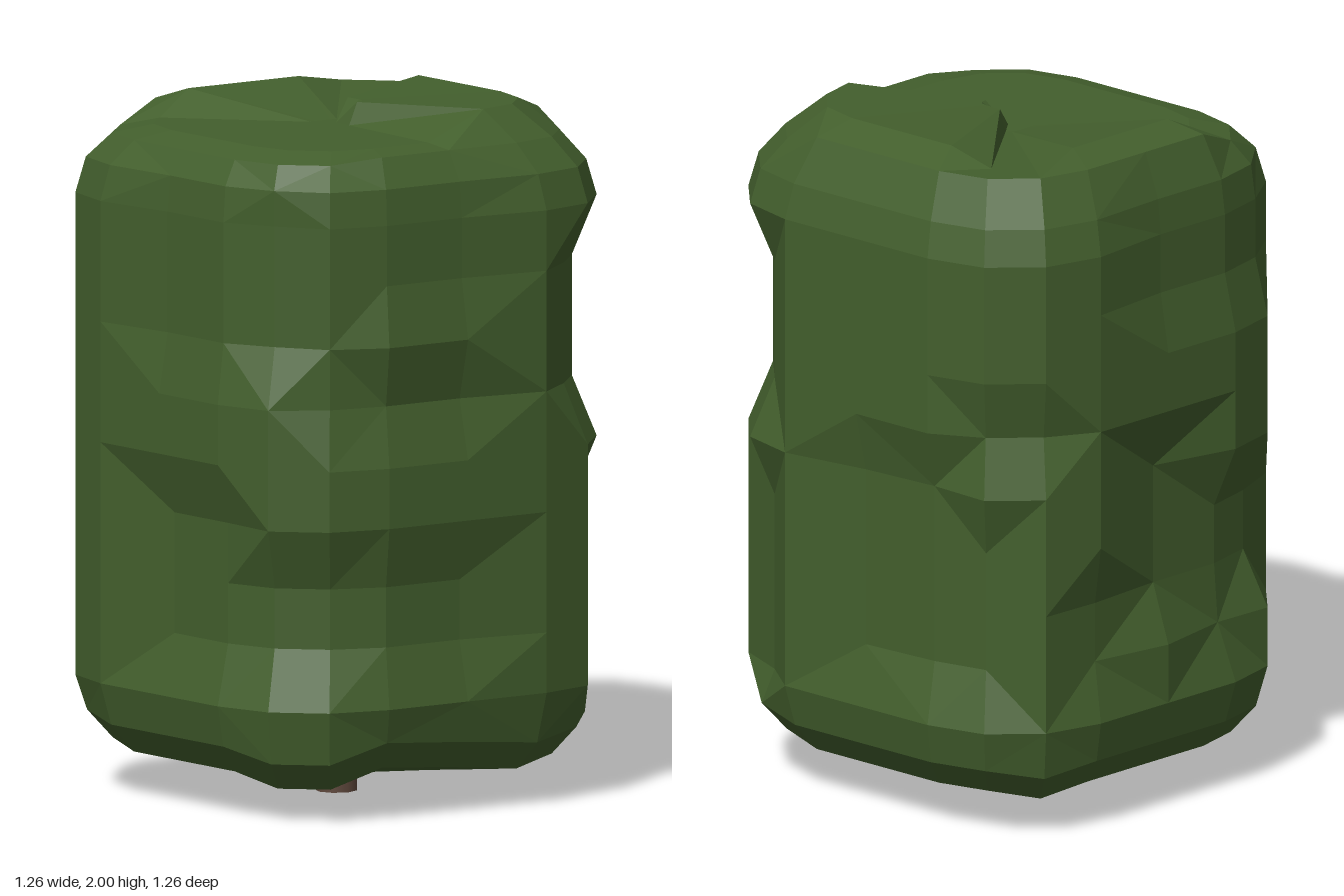
import * as THREE from 'three';

// One side of the rounded-square outline; rotated four times for the full ring of 20 columns
const SIDE = [[-0.28, 0.63], [0, 0.63], [0.28, 0.63], [0.46, 0.585], [0.585, 0.46]];
const N = 20;

function outline() {
  const pts = [];
  for (let s = 0; s < 4; s++) {
    for (const [px, pz] of SIDE) {
      let x = px, z = pz;
      for (let k = 0; k < s; k++) [x, z] = [z, -x];
      pts.push([x, z]);
    }
  }
  return pts;
}

// Dents in the foliage: first column, column count, first row, last row, depth
const DENTS = [
  [0, 2, 1, 2, 0.04], [0, 2, 5, 5, 0.04], [0, 2, 7, 8, 0.03],    // front folds
  [18, 2, 1, 2, 0.06], [18, 1, 6, 8, 0.06], [19, 1, 5, 8, 0.03], // front right corner
  [4, 1, 0, 3, 0.06], [3, 2, 5, 7, 0.06],                        // front left corner
  [6, 1, 1, 4, 0.04], [7, 1, 1, 4, 0.055],                       // left side under the fold
  [8, 1, 1, 3, 0.05], [8, 2, 5, 5, 0.04],                        // back left corner
  [10, 1, 1, 2, 0.04], [11, 1, 2, 4, 0.06], [12, 2, 2, 3, 0.06], // back fold
  [12, 1, 1, 1, 0.05], [11, 3, 7, 8, 0.03],
  [16, 2, 1, 3, 0.055], [16, 2, 6, 8, 0.03],                     // right side
];

function dent(col, row) {
  let d = 0;
  for (const [c, n, r0, r1, depth] of DENTS) {
    if ((col - c + N) % N < n && row >= r0 && row <= r1) d = Math.max(d, depth);
  }
  return d;
}

// The uneven top: raised wedge at the front left, back ridge, low right side
const inWedge = (c) => c >= 2 && c <= 7;

function topHeight(c) {
  if (inWedge(c)) return 2;
  if (c >= 10 && c <= 12) return 1.99;
  return c >= 13 || c <= 1 ? 1.92 : 1.95;
}

function shoulderHeight(c) {
  if (c >= 5 && c <= 12) return 1.955;
  return c >= 13 ? 1.895 : 1.91;
}

// Height offset of the ragged lower rim
function rimOffset(c) {
  if (c === 18 || c === 19) return -0.035;
  if (c === 2 || c === 9) return -0.025;
  return c === 0 || c === 4 || c === 14 ? 0.02 : 0;
}

function foliageGeometry() {
  const base = outline();
  const rings = [];
  const addRing = (scale, heightAt, dentAt = () => 0) =>
    rings.push(base.map(([x, z], c) => {
      const s = scale - dentAt(c) / 0.63;
      return [x * s, heightAt(c), z * s];
    }));

  // Underside, lower rim, body rows, upper rim and cap
  addRing(0.1, () => 0.11);
  addRing(0.7, (c) => 0.11 + rimOffset(c) * 0.6);
  addRing(0.857, (c) => 0.13 + rimOffset(c));
  addRing(0.955, (c) => 0.21 + rimOffset(c));
  for (let r = 0; r < 9; r++) {
    addRing(1, () => 0.33 + r * 0.174, (c) => dent(c, r));
  }
  addRing(0.96, () => 1.825, (c) => dent(c, 8) * 0.5);
  addRing(0.857, shoulderHeight);
  addRing(0.7, topHeight);
  addRing(0.1, (c) => (inWedge(c) ? 1.99 : 1.925));

  const pos = rings.flat(2);
  const index = [];
  for (let r = 0; r < rings.length - 1; r++) {
    for (let c = 0; c < N; c++) {
      const a = r * N + c, b = r * N + (c + 1) % N;
      const d = a + N, e = b + N;
      if ((r + c) % 2) index.push(a, b, e, a, e, d);
      else index.push(a, b, d, b, e, d);
    }
  }
  // Close both ends with fans
  const last = (rings.length - 1) * N, bottom = rings.length * N, top = bottom + 1;
  pos.push(0, 0.11, 0, 0, 1.925, 0);
  for (let c = 0; c < N; c++) {
    const n = (c + 1) % N;
    index.push(bottom, n, c, top, last + c, last + n);
  }
  const geo = new THREE.BufferGeometry();
  geo.setAttribute('position', new THREE.Float32BufferAttribute(pos, 3));
  geo.setIndex(index);
  const flat = geo.toNonIndexed();
  flat.computeVertexNormals();
  return flat;
}

export function createModel() {
  const model = new THREE.Group();
  model.name = 'bush';

  const foliage = new THREE.Mesh(
    foliageGeometry(),
    new THREE.MeshStandardMaterial({ color: 0x435f2d, flatShading: true })
  );
  foliage.name = 'foliage';

  const trunk = new THREE.Mesh(
    new THREE.CylinderGeometry(0.06, 0.06, 0.16, 8),
    new THREE.MeshStandardMaterial({ color: 0x5f483c })
  );
  trunk.name = 'trunk';
  trunk.position.y = 0.08;

  model.add(foliage, trunk);
  return model;
}
